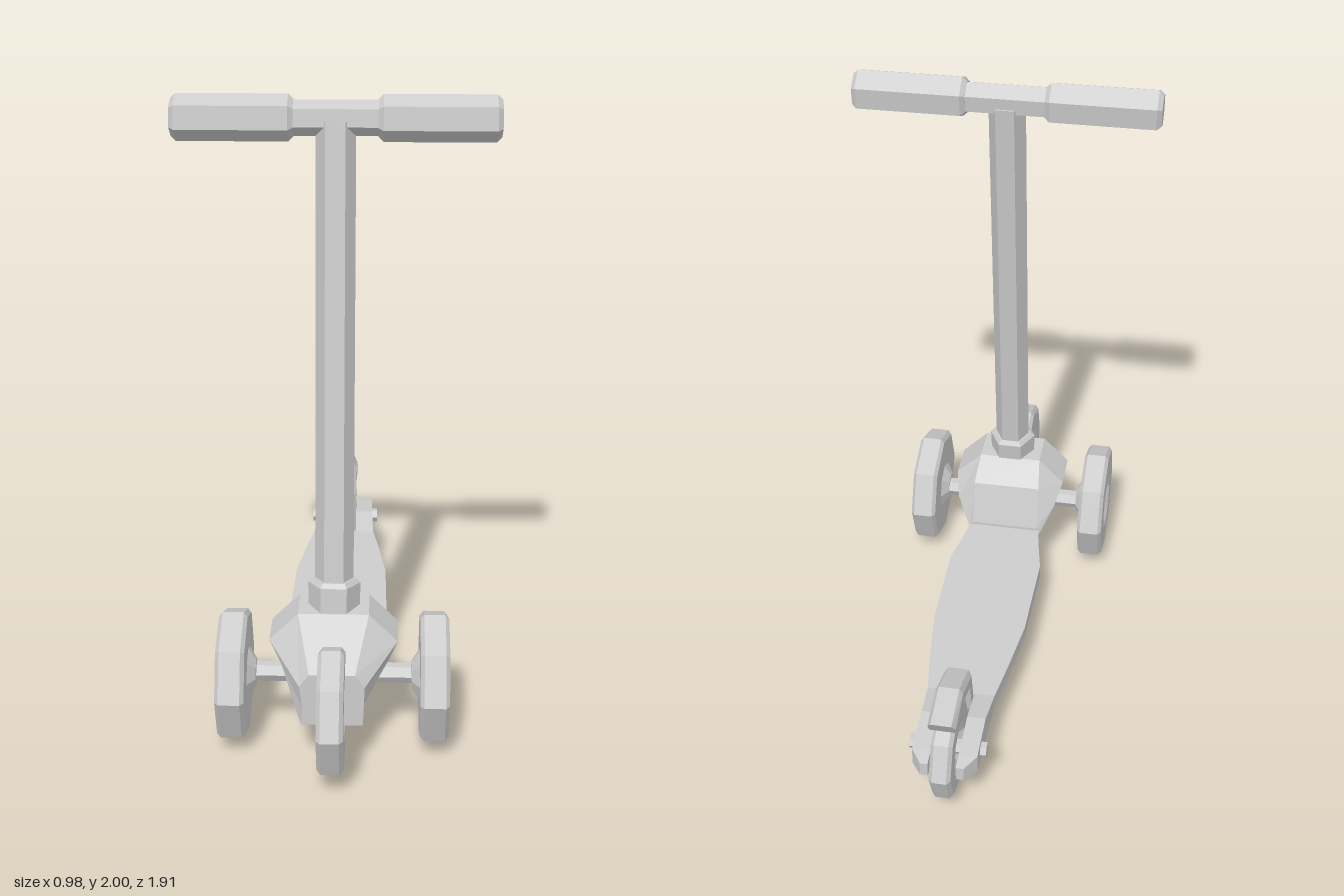
import * as THREE from 'three';

const grey = new THREE.MeshStandardMaterial({ color: 0xcccccc, flatShading: true });
grey.name = 'plain grey';

const TILT = 0.125; // backward lean of the steering column

// Closed solid through cross-sections; each loop runs counter-clockwise seen from the last section
function loft(sections) {
  const n = sections[0].length, last = (sections.length - 1) * n, index = [];
  for (let s = 0; s < sections.length - 1; s++) {
    for (let i = 0; i < n; i++) {
      const a = s * n + i, b = s * n + (i + 1) % n;
      index.push(a, b, b + n, a, b + n, a + n);
    }
  }
  for (let i = 1; i < n - 1; i++) {
    index.push(0, i + 1, i);
    index.push(last, last + i, last + i + 1);
  }
  const g = new THREE.BufferGeometry();
  g.setAttribute('position', new THREE.Float32BufferAttribute(sections.flat(2), 3));
  g.setIndex(index);
  const flat = g.toNonIndexed();
  flat.computeVertexNormals();
  return flat;
}

// Lathe turned so that its axis lies along x
function latheX(profile, sides) {
  const pts = profile.map(([r, x]) => new THREE.Vector2(r, x));
  return new THREE.LatheGeometry(pts, sides).rotateZ(-Math.PI / 2);
}

export function createModel() {
  const model = new THREE.Group();
  model.name = 'scooter';
  const add = (name, geometry, x = 0, y = 0, z = 0) => {
    const mesh = new THREE.Mesh(geometry, grey);
    mesh.name = name;
    mesh.position.set(x, y, z);
    model.add(mesh);
    return mesh;
  };

  // Octagonal wheels: bevelled tread and dished hubs
  const rim = (r, w) => [[r - 0.015, -w], [r, -w + 0.012], [r, w - 0.012], [r - 0.015, w]];
  const dish = (r, w) => [[r * 0.5, w], [r * 0.3, w - 0.02], [0, w - 0.02]];
  const wheel = (r, w) => latheX([
    [0, -w + 0.02], [r * 0.3, -w + 0.02], [r * 0.5, -w], ...rim(r, w), ...dish(r, w)], 8);
  add('frontWheel', wheel(0.197, 0.04), 0, 0.22, 0.763);
  add('rearWheel', wheel(0.165, 0.035), 0, 0.185, -0.784);
  const sideProfile = [[0, -0.07], [0.045, -0.07], [0.085, -0.045], ...rim(0.21, 0.045), ...dish(0.21, 0.045)];
  for (const s of [1, -1]) {
    const g = latheX(sideProfile, 8);
    if (s < 0) g.rotateY(Math.PI);
    add(s > 0 ? 'leftWheel' : 'rightWheel', g, s * 0.315, 0.21, 0.525);
  }

  // Axles
  add('sideAxle', latheX([[0, -0.26], [0.032, -0.26], [0.032, 0.26], [0, 0.26]], 6), 0, 0.21, 0.515);
  add('rearAxle', latheX([[0, -0.125], [0.025, -0.125], [0.025, 0.125], [0, 0.125]], 6), 0, 0.185, -0.784);

  // Faceted steering body, given as the left half profile from bottom to top
  const half = [
    [0.30, [[0.07, 0.15], [0.10, 0.17], [0.13, 0.19], [0.12, 0.22]]],
    [0.345, [[0.08, 0.14], [0.14, 0.22], [0.18, 0.30], [0.12, 0.37]]],
    [0.43, [[0.08, 0.14], [0.165, 0.27], [0.20, 0.35], [0.11, 0.44]]],
    [0.57, [[0.08, 0.14], [0.165, 0.27], [0.20, 0.35], [0.11, 0.44]]],
    [0.72, [[0.095, 0.14], [0.09, 0.20], [0.10, 0.27], [0.07, 0.31]]],
  ];
  add('steeringBody', loft(half.map(([z, p]) => [
    ...p.map(([x, y]) => [x, y, z]),
    ...[...p].reverse().map(([x, y]) => [-x, y, z])])));

  // Collar and leaning stem, both hexagonal
  const hexPost = (rTop, rBottom, h) =>
    new THREE.CylinderGeometry(rTop, rBottom, h, 6).rotateY(Math.PI / 6).rotateX(-TILT);
  add('collar', hexPost(0.082, 0.08, 0.09), 0, 0.467, 0.493);
  add('collarLip', hexPost(0.068, 0.082, 0.015), 0, 0.517, 0.487);
  add('stem', hexPost(0.06, 0.06, 1.43), 0, 1.21, 0.396);

  // Handlebar with bevelled hexagonal grips
  const hexBar = (profile) => latheX(profile, 6).rotateX(Math.PI / 6 - TILT);
  add('handlebar', hexBar([[0, -0.2], [0.053, -0.2], [0.053, 0.2], [0, 0.2]]), 0, 1.93, 0.305);
  for (const s of [1, -1]) {
    add(s > 0 ? 'leftGrip' : 'rightGrip', hexBar([[0, -0.182], [0.055, -0.182], [0.07, -0.167],
      [0.07, 0.167], [0.055, 0.182], [0, 0.182]]), s * 0.308, 1.93, 0.305);
  }

  // Deck, waisted towards the rear
  const edge = [[0.125, 0.32], [0.14, 0.23], [0.165, 0.1], [0.16, -0.23], [0.135, -0.42], [0.112, -0.57]];
  const outline = [...edge, ...edge.map(([x, z]) => [-x, z]).reverse()].map(([x, z]) => new THREE.Vector2(x, z));
  add('deck', new THREE.ExtrudeGeometry(new THREE.Shape(outline), { depth: 0.05, bevelEnabled: false })
    .rotateX(Math.PI / 2), 0, 0.21, 0);

  // Rear fork arms: [z, outer x, bottom, top]
  const arm = [[-0.9, 0.07, 0.162, 0.212], [-0.85, 0.105, 0.155, 0.22], [-0.7, 0.105, 0.145, 0.235],
    [-0.57, 0.112, 0.16, 0.21]];
  for (const s of [1, -1]) {
    add(s > 0 ? 'leftForkArm' : 'rightForkArm', loft(arm.map(([z, out, lo, hi]) => {
      const x0 = Math.min(s * 0.045, s * out), x1 = Math.max(s * 0.045, s * out);
      return [[x0, lo, z], [x1, lo, z], [x1, hi, z], [x0, hi, z]];
    })));
  }

  // Rear fender: outer and inner [y, z] points from back to front
  const fender = [[[0.39, -0.9], [0.325, -0.86]], [[0.415, -0.76], [0.362, -0.77]],
    [[0.35, -0.605], [0.315, -0.645]], [[0.19, -0.565], [0.19, -0.62]]];
  add('rearFender', loft(fender.map(([[yo, zo], [yi, zi]]) => {
    const ym = yo * 0.65 + yi * 0.35, zm = zo * 0.65 + zi * 0.35;
    return [[-0.045, yi, zi], [0.045, yi, zi], [0.045, ym, zm], [0.033, yo, zo], [-0.033, yo, zo], [-0.045, ym, zm]];
  })));

  return model;
}
